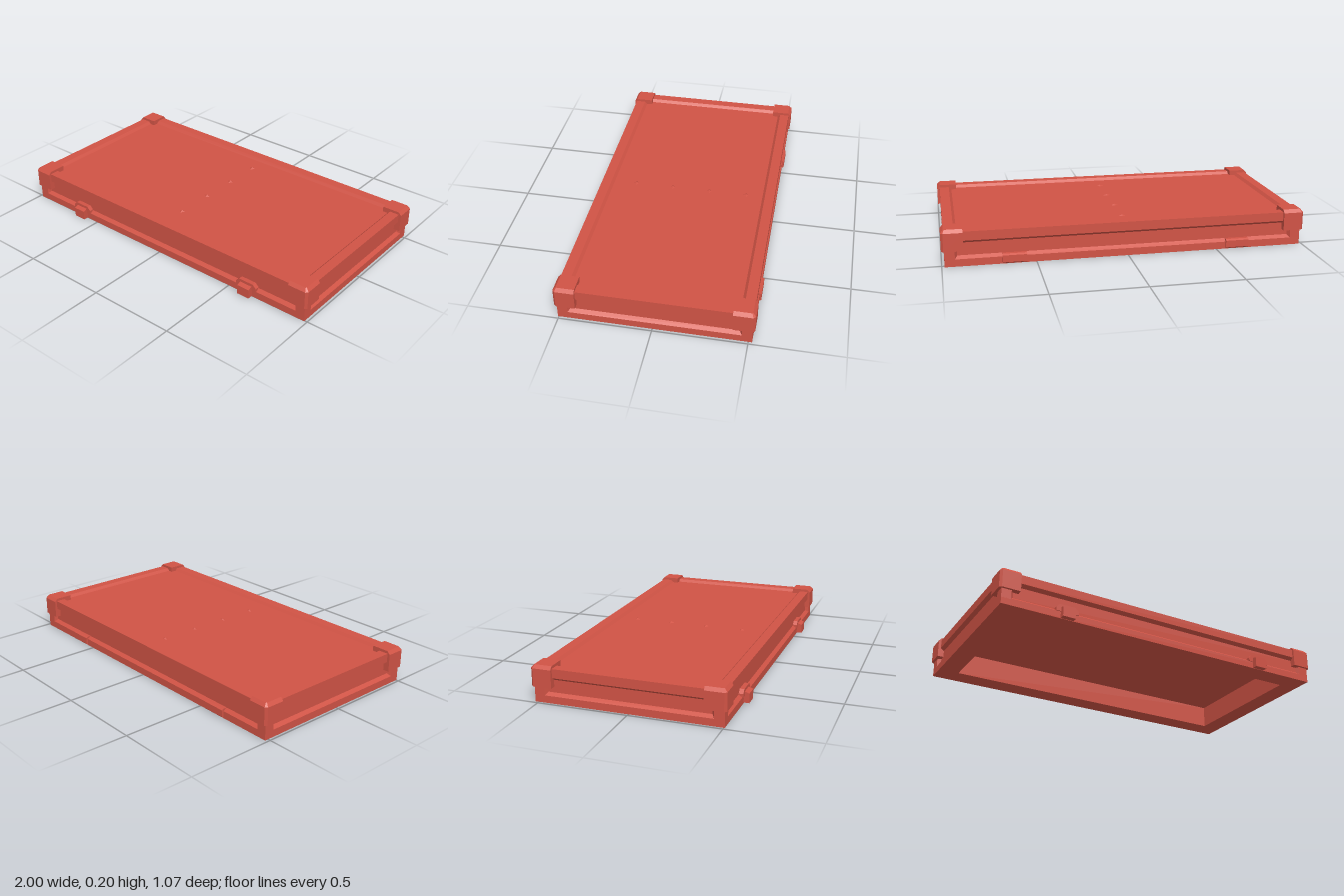
import * as THREE from 'three';
import { ConvexGeometry } from 'three/addons/geometries/ConvexGeometry.js';

const red = new THREE.MeshStandardMaterial({ color: 0xd05345 });
red.name = 'case red';

const HX = 0.985, HZ = 0.5125, CZ = -0.0075; // half extents and centre of the shell

function add(group, name, geometry) {
  const mesh = new THREE.Mesh(geometry, red);
  mesh.name = name;
  group.add(mesh);
  return mesh;
}

// Convex solid from point triples
function solid(points) {
  return new ConvexGeometry(points.map((p) => new THREE.Vector3(...p)));
}

// Rectangular rings [inset, y] joined into a flat-shaded skin, closed at both ends
function shellGeometry(rings) {
  const ring = ([d, y]) => {
    const x = HX - d, z = HZ - d;
    return [[-x, y, CZ + z], [x, y, CZ + z], [x, y, CZ - z], [-x, y, CZ - z]];
  };
  const out = [];
  const quad = (a, b, c, d) => out.push(...a, ...b, ...c, ...a, ...c, ...d);
  const loops = rings.map(ring);
  for (let i = 0; i < loops.length - 1; i++) {
    for (let k = 0; k < 4; k++) {
      const n = (k + 1) % 4;
      quad(loops[i][k], loops[i][n], loops[i + 1][n], loops[i + 1][k]);
    }
  }
  const [a, b, c, d] = loops[0];
  quad(d, c, b, a);
  quad(...loops[loops.length - 1]);
  const g = new THREE.BufferGeometry();
  g.setAttribute('position', new THREE.Float32BufferAttribute(out, 3));
  g.computeVertexNormals();
  return g;
}

export function createModel() {
  const model = new THREE.Group();
  model.name = 'caseLid';

  // Hollow shell: underside ceiling, bottom rim, side recess, top rim, sunken panel
  add(model, 'shell', shellGeometry([
    [0.115, 0.13], [0.115, 0], [0, 0], [0, 0.04], [0.02, 0.055], [0.02, 0.125],
    [0, 0.14], [0, 0.19], [0.055, 0.19], [0.07, 0.175],
  ]));

  for (const sx of [-1, 1]) {
    for (const sz of [-1, 1]) {
      // Corner post with slanted ends closing the side recess
      const post = [[0, 0], [0.055, 0], [0.068, 0.02], [0.02, 0.068], [0, 0.055]];
      add(model, 'cornerPost', solid([0.035, 0.145].flatMap((y) =>
        post.map(([a, b]) => [sx * (HX - a), y, CZ + sz * (HZ - b)]))));

      // Protective corner cap, chamfered on its outer edges
      const cap = (y, d, c) => [[0.115, 0.115], [0.115, d], [d + c, d], [d, d + c], [d, 0.115]]
        .map(([a, b]) => [sx * (1 - a), y, CZ + sz * (0.525 - b)]);
      add(model, 'cornerCap', solid([
        ...cap(0.087, 0, 0.012), ...cap(0.187, 0, 0.012), ...cap(0.205, 0.016, 0.004),
      ]));
    }

    // Front latch: backing plate and protruding catch
    const cx = sx * 0.617;
    const plate = [[-0.065, 0.04], [0.065, 0.04], [0.065, 0.06], [0.045, 0.08], [-0.045, 0.08], [-0.065, 0.06]];
    add(model, 'latchPlate', solid([0.48, 0.51].flatMap((z) =>
      plate.map(([x, y]) => [cx + x, y, z]))));
    const latch = [[0.49, 0.002], [0.535, 0.002], [0.535, 0.055], [0.51, 0.064], [0.49, 0.064]];
    add(model, 'latchCatch', solid([-0.037, 0.037].flatMap((x) =>
      latch.map(([z, y]) => [cx + x, y, z]))));

    // Rear hinge plate
    const hinge = [[-0.49, 0.004], [-0.525, 0.004], [-0.531, 0.01], [-0.531, 0.048], [-0.52, 0.055], [-0.49, 0.055]];
    add(model, 'hingePlate', solid([-0.065, 0.065].flatMap((x) =>
      hinge.map(([z, y]) => [cx + x, y, z]))));
  }

  // Row of small raised markers along the middle of the panel
  for (const z of [-0.355, -0.137, 0.082, 0.302]) {
    add(model, 'panelMarker', solid([
      [-0.022, 0.174, z], [0.022, 0.174, z], [0, 0.174, z + 0.022],
      [0, 0.174, z - 0.012], [0, 0.183, z],
    ]));
  }
  return model;
}
